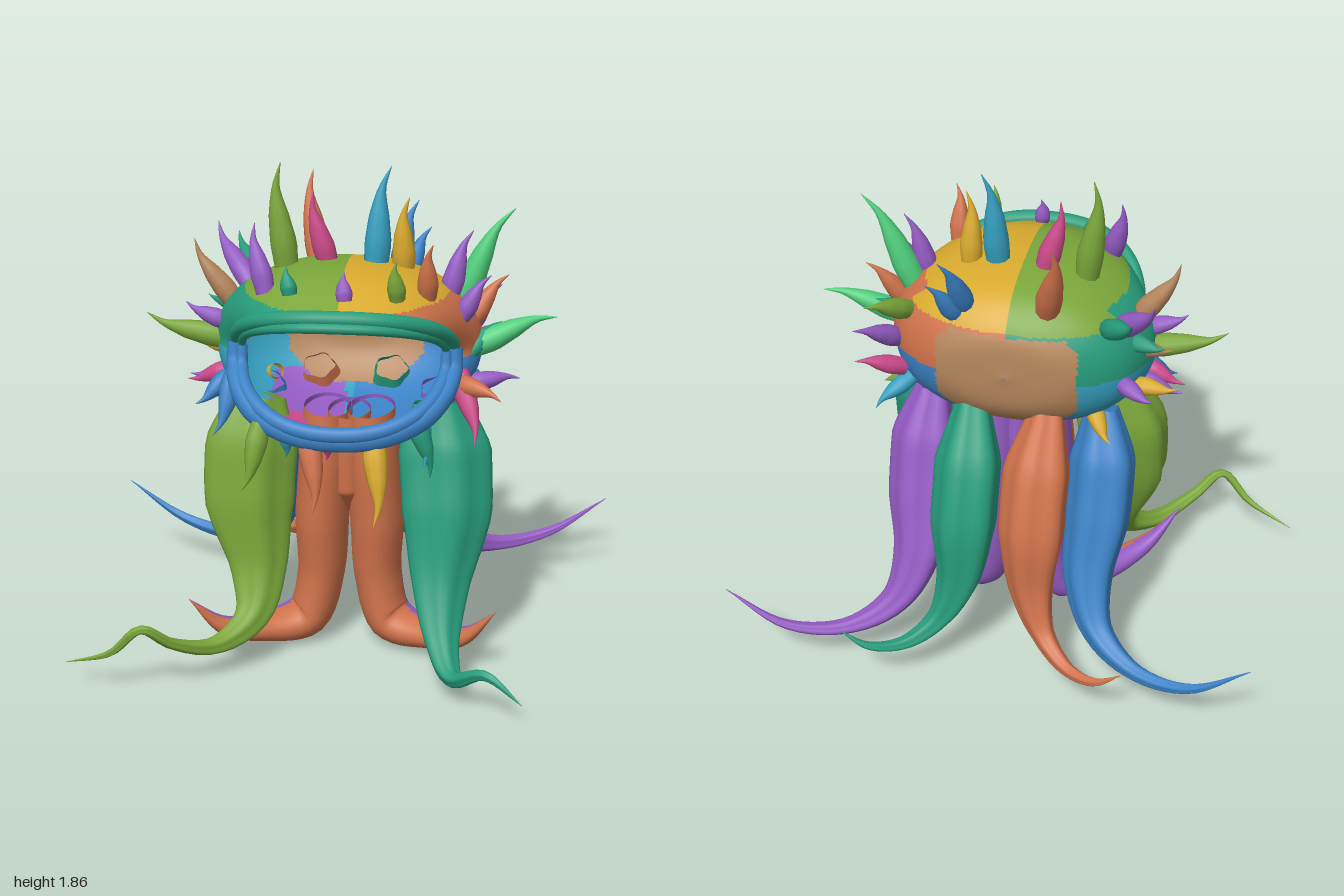
import * as THREE from 'three';

const V = (a) => new THREE.Vector3(...a);
const paint = (name, color) => {
  const m = new THREE.MeshStandardMaterial({ color, side: THREE.DoubleSide });
  m.name = name;
  return m;
};
const C = {
  lime: paint('lime', 0x7aa63a), teal: paint('teal', 0x279c7b), blue: paint('blue', 0x3b82c6),
  purple: paint('purple', 0x955cc4), orange: paint('orange', 0xcf724b), yellow: paint('yellow', 0xd8aa2e),
  brown: paint('brown', 0xb5865c), pink: paint('pink', 0xcc4a8a), cyan: paint('cyan', 0x36a0c0),
  green: paint('bright green', 0x4fcf7c),
};

// Closed rings of points joined into a smooth skin; pick() chooses a colour per face
function skin(name, rings, pick) {
  const n = rings[0].length, pos = [], faces = new Map();
  rings.forEach((r) => r.forEach((p) => pos.push(p.x, p.y, p.z)));
  for (let i = 0; i < rings.length - 1; i++) {
    for (let j = 0; j < n; j++) {
      const k = (j + 1) % n;
      const a = rings[i][j], b = rings[i][k], c = rings[i + 1][j], d = rings[i + 1][k];
      const mid = a.clone().add(b).add(c).add(d).multiplyScalar(0.25);
      const normal = d.clone().sub(a).cross(c.clone().sub(b)).normalize();
      const mat = pick(mid, normal);
      if (!faces.has(mat)) faces.set(mat, []);
      faces.get(mat).push(i * n + j, i * n + k, i * n + n + j, i * n + k, i * n + n + k, i * n + n + j);
    }
  }
  const geo = new THREE.BufferGeometry(), index = [], mats = [...faces.keys()];
  mats.forEach((m, g) => {
    geo.addGroup(index.length, faces.get(m).length, g);
    for (const v of faces.get(m)) index.push(v);
  });
  geo.setAttribute('position', new THREE.Float32BufferAttribute(pos, 3));
  geo.setIndex(index);
  geo.computeVertexNormals();
  const mesh = new THREE.Mesh(geo, mats.length > 1 ? mats : mats[0]);
  mesh.name = name;
  return mesh;
}

// Tapered limb along a path; flute adds lengthwise ridges, sx and sz widen the section
function limb(name, points, radii, pick, { steps = 40, sides = 30, flute = 0, sx = 1, sz = 1 } = {}) {
  const curve = new THREE.CatmullRomCurve3(points.map(V)), rings = [];
  let n = new THREE.Vector3(0.3, 0.05, 1);
  for (let i = 0; i <= steps; i++) {
    const t = i / steps, p = curve.getPoint(t), T = curve.getTangent(t);
    n = n.clone().addScaledVector(T, -n.dot(T)).normalize();
    const b = T.clone().cross(n);
    const f = t * (radii.length - 1), k = Math.min(Math.floor(f), radii.length - 2);
    const r = THREE.MathUtils.lerp(radii[k], radii[k + 1], f - k);
    rings.push(Array.from({ length: sides }, (_, j) => {
      const a = (j / sides) * Math.PI * 2, q = r * (1 + flute * Math.cos(5 * a));
      const o = n.clone().multiplyScalar(q * Math.cos(a)).addScaledVector(b, q * Math.sin(a));
      return p.clone().add(o.set(o.x * sx, o.y, o.z * sz));
    }));
  }
  return skin(name, rings, pick);
}

// Mouth rim: a notch that reaches far back at the corners, arched above and straight below
const power = (v, e) => Math.sign(v) * Math.abs(v) ** e;
function rim(a, grow = 0) {
  const c = Math.cos(a), s = Math.sin(a), up = s > 0;
  return new THREE.Vector3((0.385 + grow) * power(c, up ? 0.82 : 0.9), 1.21 + (0.21 + grow) * power(s, up ? 0.75 : 0.88),
    0.18 + 0.31 * Math.abs(s) ** (up ? 1.15 : 0.95));
}

// Colour patches of the head
function patch(p) {
  const side = Math.abs(p.x);
  if (p.z < 0 && side < 0.26 && p.y > 0.97 && p.y < 1.37 && side + Math.abs(p.y - 1.2) < 0.38) return C.brown;
  const crown = p.z > -0.1 ? 1.43 : 1.38;
  if (side < 0.4 && p.y > crown) return p.x > 0 ? C.yellow : C.lime;
  if (p.y > 1.2) return p.x > 0 ? C.orange : C.teal;
  if (p.y < 1.02 && p.x < -0.03 && p.x > -0.3 && p.z < 0.32) return p.z > 0.05 ? C.pink : C.purple;
  return p.x > 0 || p.z > 0.3 ? C.blue : C.cyan;
}

function head() {
  const cols = 180, rows = 80, lines = [];
  for (let j = 0; j < cols; j++) {
    const a = (j / cols) * Math.PI * 2, c = power(Math.cos(a), 0.9), s = power(Math.sin(a), 0.9);
    const ring = (k, z) => new THREE.Vector3(0.49 * k * c, 1.215 + 0.305 * k * s, z);
    const edge = rim(a), full = ring(1, 0.03);
    const cheek = full.clone().lerp(edge, 0.55).add(new THREE.Vector3(0.02 * c, 0.045 * s, 0));
    lines.push(new THREE.CatmullRomCurve3([ring(0.01, -0.3), ring(0.5, -0.275), ring(0.85, -0.17), full, cheek, edge]));
  }
  const rings = Array.from({ length: rows + 1 }, (_, i) => lines.map((l) => l.getPoint(i / rows)));
  return skin('head', rings, patch);
}

// Horns grouped by colour: base point, then tip
const HORNS = {
  lime: [[-0.23, 1.5, 0.03, -0.25, 1.87, 0.02], [0.2, 1.48, 0.35, 0.2, 1.61, 0.38],
    [0.4, 1.36, -0.15, 0.5, 1.45, -0.32], [0.42, 1.0, -0.06, 0.52, 0.97, -0.06], [-0.46, 1.21, 0.04, -0.75, 1.3, 0.05],
    [-0.28, 1.0, 0.44, -0.34, 0.79, 0.52]],
  teal: [[-0.18, 1.48, 0.34, -0.19, 1.57, 0.33], [-0.35, 1.39, -0.16, -0.46, 1.52, -0.33], [0.45, 1.2, 0.08, 0.56, 1.29, 0],
    [0.27, 0.98, 0.28, 0.32, 0.78, 0.3], [-0.42, 1.3, -0.08, -0.55, 1.32, -0.14]],
  blue: [[0.17, 1.43, -0.18, 0.23, 1.66, -0.31], [-0.4, 1.13, 0.24, -0.46, 0.94, 0.36], [0.2, 1.4, -0.2, 0.28, 1.56, -0.3],
    [-0.45, 1.08, 0.12, -0.55, 1.0, 0.2]],
  purple: [[-0.28, 1.47, 0.25, -0.32, 1.69, 0.2], [0.02, 1.48, 0.4, 0.02, 1.57, 0.38], [0.37, 1.41, 0.06, 0.45, 1.64, 0.04],
    [0.42, 1.35, 0.13, 0.52, 1.5, 0.13], [0.44, 1.23, -0.14, 0.55, 1.34, -0.31], [0.45, 1.08, 0.1, 0.63, 1.09, 0.05],
    [-0.39, 1.38, -0.12, -0.53, 1.57, -0.28], [-0.46, 1.28, 0.06, -0.6, 1.35, 0.06], [-0.45, 1.08, 0.02, -0.6, 1.05, 0.0],
    [-0.41, 1.17, -0.17, -0.53, 1.16, -0.25], [0.1, 0.95, 0.36, 0.1, 0.86, 0.36]],
  orange: [[-0.13, 1.45, -0.18, -0.17, 1.77, -0.31], [0.3, 1.46, 0.24, 0.32, 1.65, 0.29], [0.45, 1.3, 0.02, 0.58, 1.46, -0.03],
    [-0.1, 0.98, 0.46, -0.08, 0.73, 0.57], [0.42, 1.12, 0.22, 0.57, 1.09, 0.32]],
  yellow: [[0.2, 1.49, 0.03, 0.22, 1.76, 0.05], [0.13, 0.97, 0.46, 0.14, 0.7, 0.58], [-0.45, 1.13, -0.1, -0.6, 1.15, -0.13],
    [-0.3, 1.02, -0.14, -0.38, 0.95, -0.24]],
  pink: [[-0.08, 1.51, 0.02, -0.13, 1.77, 0.03], [0.42, 1.13, 0.2, 0.48, 0.93, 0.35], [0.42, 1.13, -0.18, 0.56, 1.19, -0.28],
    [-0.45, 1.1, 0.08, -0.6, 1.05, 0.06], [-0.05, 0.95, 0.36, -0.05, 0.86, 0.36]],
  cyan: [[0.1, 1.51, 0.03, 0.15, 1.86, 0], [0.4, 1.05, -0.14, 0.5, 0.97, -0.24], [0.28, 0.98, 0.25, 0.3, 0.83, 0.32],
    [-0.2, 0.97, 0.35, -0.2, 0.86, 0.35]],
  green: [[0.41, 1.37, 0.02, 0.6, 1.72, 0.01], [0.47, 1.21, 0.05, 0.76, 1.31, -0.01]],
  brown: [[-0.43, 1.35, 0.02, -0.57, 1.58, 0.02], [-0.45, 1.25, -0.04, -0.56, 1.24, -0.02]],
};

function horn(color, h) {
  const base = V(h.slice(0, 3)), tip = V(h.slice(3)), d = tip.clone().sub(base), len = d.length();
  const bend = new THREE.Vector3(-d.y, d.x, d.z * 0.3).normalize().multiplyScalar(len * 0.06);
  const at = (t, k) => base.clone().addScaledVector(d, t).addScaledVector(bend, k).toArray();
  const r = 0.024 + 0.072 * Math.min(len, 0.36);
  return limb('horn', [at(-0.1, 0), at(0.2, 0.3), at(0.48, 0.8), at(0.76, 1), at(1, 0)],
    [r * 0.85, r, r * 0.75, r * 0.28, 0.001], () => C[color], { steps: 14, sides: 10 });
}

export function createModel() {
  const model = new THREE.Group();
  model.add(head());

  // Lips: a thick outer roll and a thinner inner roll
  const lip = (name, from, to, mat, r) => [[r, 0.012, 0.0], [r * 0.65, -0.015, 0.024]].forEach(([q, grow, dz]) => {
    const pts = Array.from({ length: 17 }, (_, i) => {
      const p = rim(from + ((to - from) * i) / 16, grow);
      return [p.x, p.y, p.z + dz];
    });
    model.add(limb(name, pts, [q * 0.7, q, q, q, q * 0.7], () => mat, { steps: 64, sides: 12 }));
  });
  lip('upperLip', -0.08, Math.PI + 0.08, C.teal, 0.029);
  lip('lowerLip', Math.PI - 0.1, Math.PI * 2 + 0.1, C.blue, 0.044);

  // Horns all over the head
  const horns = new THREE.Group();
  horns.name = 'horns';
  for (const color in HORNS) HORNS[color].forEach((h) => horns.add(horn(color, h)));
  model.add(horns);

  // Front tentacles
  const flute = 0.085;
  model.add(limb('frontLeftTentacle', [[0.34, 1.0, 0.08], [0.355, 0.83, 0.11], [0.37, 0.6, 0.18], [0.36, 0.35, 0.28],
    [0.38, 0.17, 0.42], [0.43, 0.1, 0.54], [0.55, 0.17, 0.64], [0.68, 0.09, 0.7]],
  [0.085, 0.142, 0.138, 0.088, 0.05, 0.03, 0.018, 0.001], () => C.teal, { flute, sx: 1.18, sz: 0.85 }));
  model.add(limb('frontRightTentacle', [[-0.34, 1.0, 0.07], [-0.365, 0.83, 0.1], [-0.37, 0.6, 0.14], [-0.33, 0.36, 0.2],
    [-0.34, 0.2, 0.3], [-0.46, 0.13, 0.42], [-0.6, 0.19, 0.54], [-0.7, 0.27, 0.6], [-0.82, 0.16, 0.58], [-1, 0.09, 0.53]],
  [0.085, 0.142, 0.138, 0.088, 0.055, 0.032, 0.02, 0.016, 0.012, 0.001], () => C.lime, { flute, sx: 1.18, sz: 0.88 }));

  // Legs are orange in front and purple behind, joined by a short trunk
  const frontBack = (p, n) => (n.z > 0 ? C.orange : C.purple);
  model.add(limb('trunk', [[0, 0.94, 0.02], [0, 0.8, 0.02], [0, 0.64, 0.02], [0, 0.54, 0.02]], [0.08, 0.085, 0.08, 0.02],
    frontBack, { sz: 1.5 }));

  // Back tentacles and centre legs, mirrored
  for (const s of [1, -1]) {
    const flip = (pts) => pts.map(([x, y, z]) => [x * s, y, z]);
    const sideName = s > 0 ? 'Left' : 'Right';
    model.add(limb(`back${sideName}Tentacle`, flip([[0.32, 1.0, -0.09], [0.34, 0.82, -0.15], [0.34, 0.6, -0.23],
      [0.33, 0.4, -0.33], [0.39, 0.24, -0.44], [0.55, 0.165, -0.55], [0.77, 0.195, -0.63], [0.99, 0.34, -0.65]]),
    [0.06, 0.118, 0.118, 0.09, 0.055, 0.03, 0.018, 0.001], () => (s > 0 ? C.purple : C.blue), { flute }));
    model.add(limb(`rear${sideName}Tentacle`, flip([[0.14, 1.03, -0.2], [0.13, 0.85, -0.31], [0.13, 0.62, -0.4],
      [0.14, 0.4, -0.45], [0.2, 0.25, -0.52], [0.31, 0.18, -0.61], [0.43, 0.2, -0.68], [0.53, 0.27, -0.7]]),
    [0.06, 0.118, 0.118, 0.08, 0.042, 0.025, 0.015, 0.001], () => (s > 0 ? C.teal : C.orange), { flute }));
    model.add(limb(`centre${sideName}Leg`, flip([[0.08, 0.95, 0.02], [0.09, 0.75, 0.02], [0.105, 0.5, 0.01],
      [0.11, 0.27, 0.01], [0.16, 0.1, 0.04], [0.3, 0.08, 0.13], [0.45, 0.13, 0.25], [0.57, 0.27, 0.33]]),
    [0.09, 0.1, 0.103, 0.09, 0.085, 0.055, 0.033, 0.001], frontBack, { sz: 1.5 }));
  }
  return model;
}
